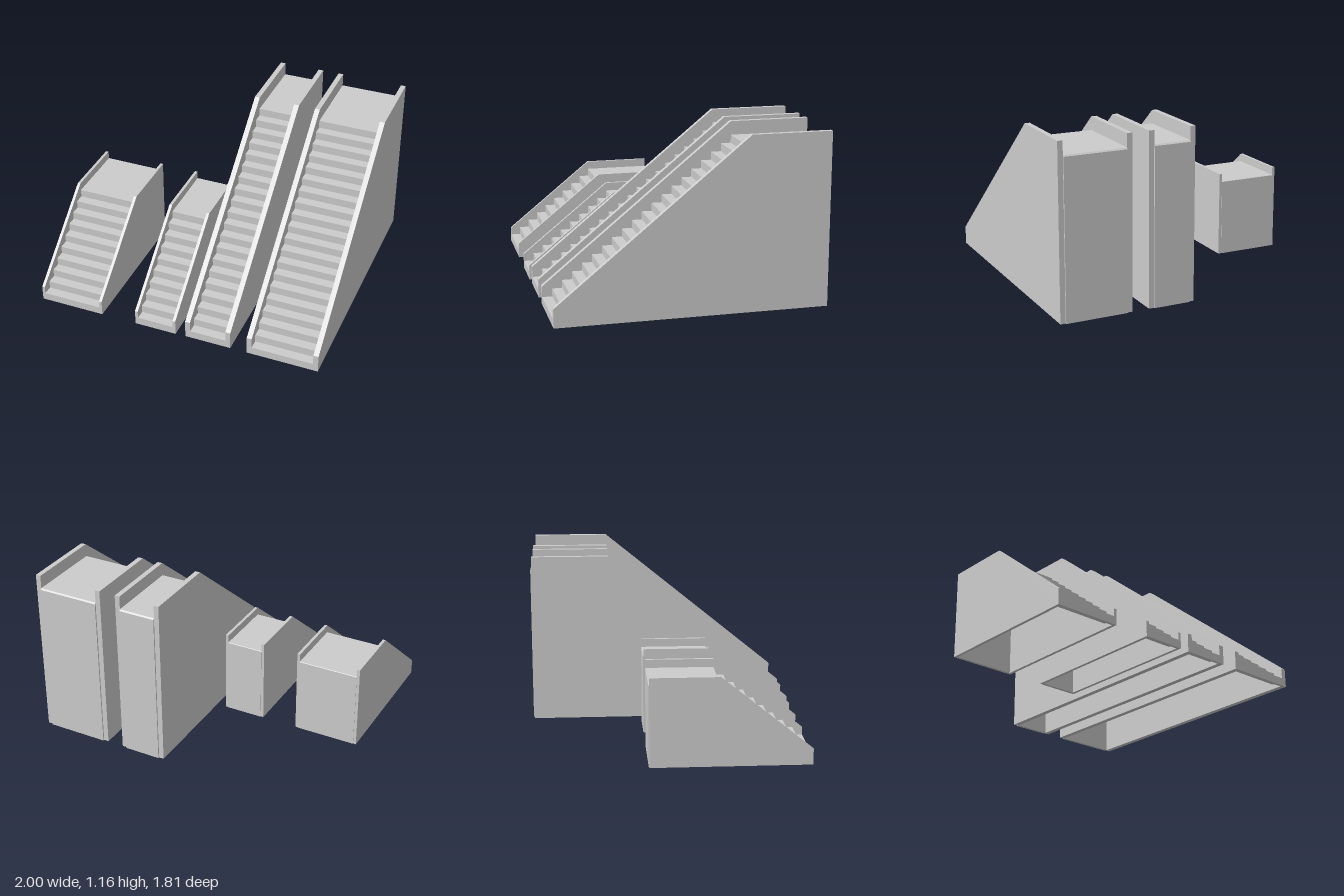
import * as THREE from 'three';

const RISE = 0.0535, RUN = 0.0667, SHEET = 0.02;
const material = new THREE.MeshStandardMaterial({ color: 0xcccccc, flatShading: true });

// Extrudes a [z, y] outline across x, from x0 to x1
function slab(name, outline, x0, x1) {
  const shape = new THREE.Shape(outline.map(([z, y]) => new THREE.Vector2(z, y)));
  const geometry = new THREE.ExtrudeGeometry(shape, { depth: x1 - x0, bevelEnabled: false });
  geometry.rotateY(-Math.PI / 2).translate(x1, 0, 0);
  const mesh = new THREE.Mesh(geometry, material);
  mesh.name = name;
  return mesh;
}

// Folded sheet: risers, treads, landing and back wall, hollow below
function stepOutline({ steps, front, panelBack, lip }) {
  const outer = [], inner = [];
  for (let i = 0; i < steps; i++) {
    const z = front - i * RUN, y = i * RISE;
    outer.push([z, y], [z, y + RISE]);
    inner.push([z - SHEET, i ? y - SHEET : 0], [z - SHEET, y + RISE - SHEET]);
  }
  const top = steps * RISE;
  // Small chamfer where the landing meets the back wall
  outer.push([panelBack + lip, top], [panelBack, top - lip], [panelBack, 0]);
  inner.push([panelBack + SHEET, top - SHEET], [panelBack + SHEET, 0]);
  return [...outer, ...inner.reverse()];
}

function staircase(name, s) {
  const group = new THREE.Group();
  group.name = name;
  const knee = s.front - (s.steps - 1) * RUN;
  const side = [
    [s.front, 0], [s.front, s.sideFront], [knee, s.sideTop], [s.back, s.sideTop], [s.back, 0],
  ];
  group.add(
    slab('leftSideWall', side, s.x1 - s.wall, s.x1),
    slab('rightSideWall', side, s.x0, s.x0 + s.wall),
    slab('stepsAndLanding', stepOutline(s), s.x0 + s.wall, s.x1 - s.wall),
  );
  return group;
}

export function createModel() {
  const model = new THREE.Group();
  model.name = 'staircaseSet';
  const short = {
    steps: 10, front: 0.904, back: -0.142, panelBack: -0.145, lip: 0.003,
    sideFront: 0.105, sideTop: 0.59, wall: 0.02,
  };
  const tall = {
    steps: 20, front: 0.9, back: -0.897, panelBack: -0.906, lip: 0.009,
    sideFront: 0.125, sideTop: 1.16, wall: 0.035,
  };
  model.add(
    staircase('shortWideStaircase', { ...short, x0: -1, x1: -0.545 }),
    staircase('shortNarrowStaircase', { ...short, x0: -0.295, x1: 0 }),
    staircase('tallNarrowStaircase', { ...tall, x0: 0.07, x1: 0.392 }),
    staircase('tallWideStaircase', { ...tall, x0: 0.507, x1: 1 }),
  );
  return model;
}
